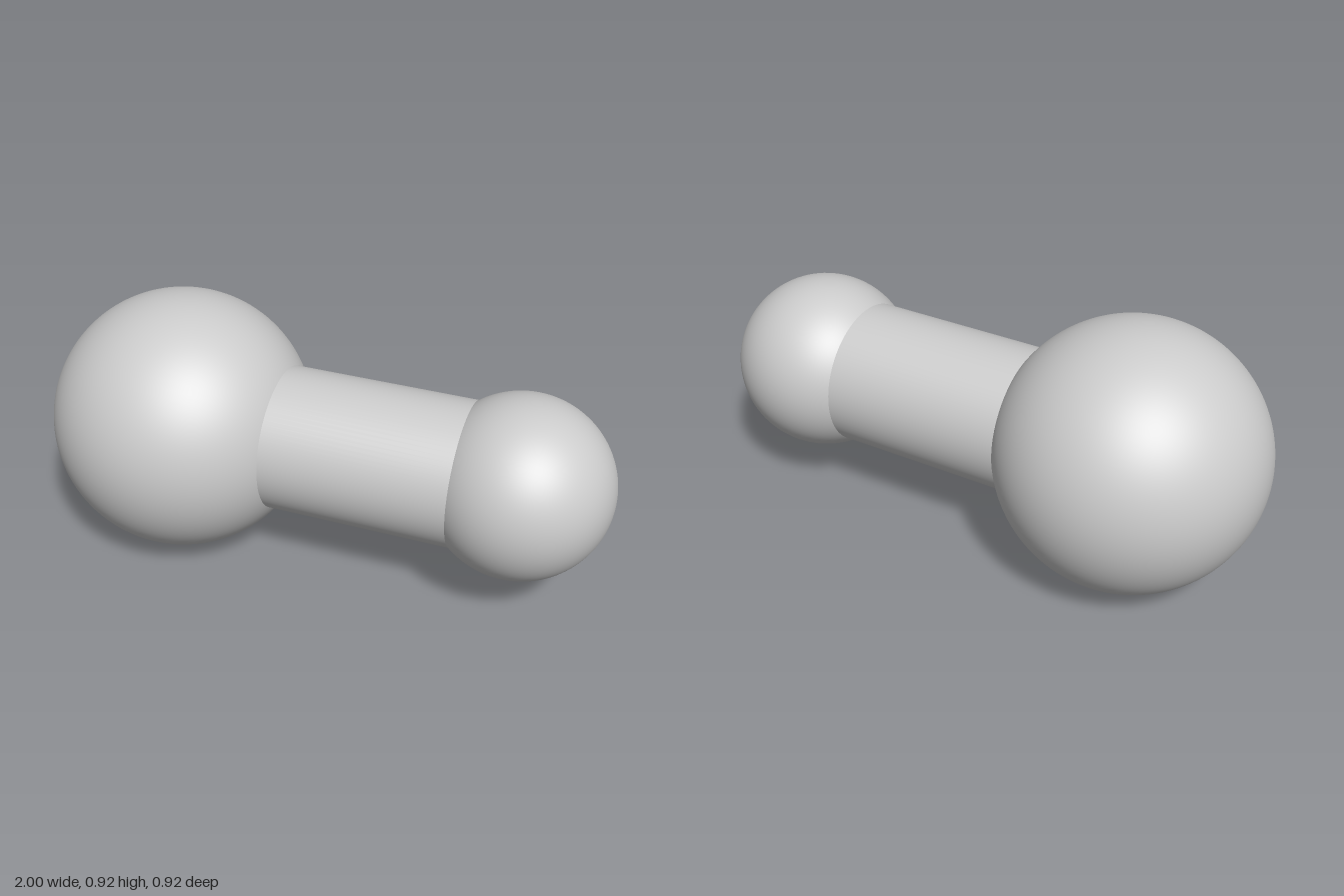
import * as THREE from 'three';

export function createModel() {
  const group = new THREE.Group();
  const material = new THREE.MeshStandardMaterial({ color: 0xcccccc });
  const axisY = 0.461;

  function add(name, geometry, x) {
    const mesh = new THREE.Mesh(geometry, material);
    mesh.name = name;
    mesh.rotation.z = -Math.PI / 2; // the shared axis runs along x
    mesh.position.set(x, axisY, 0);
    group.add(mesh);
  }

  // Two balls of different size, joined by a round bar sunk into both
  add('largeBall', new THREE.SphereGeometry(0.461, 96, 64), -0.539);
  add('smallBall', new THREE.SphereGeometry(0.315, 96, 64), 0.685);
  const barStart = -0.17, barEnd = 0.51;
  add('connectingBar',
    new THREE.CylinderGeometry(0.253, 0.253, barEnd - barStart, 96),
    (barStart + barEnd) / 2);

  return group;
}
